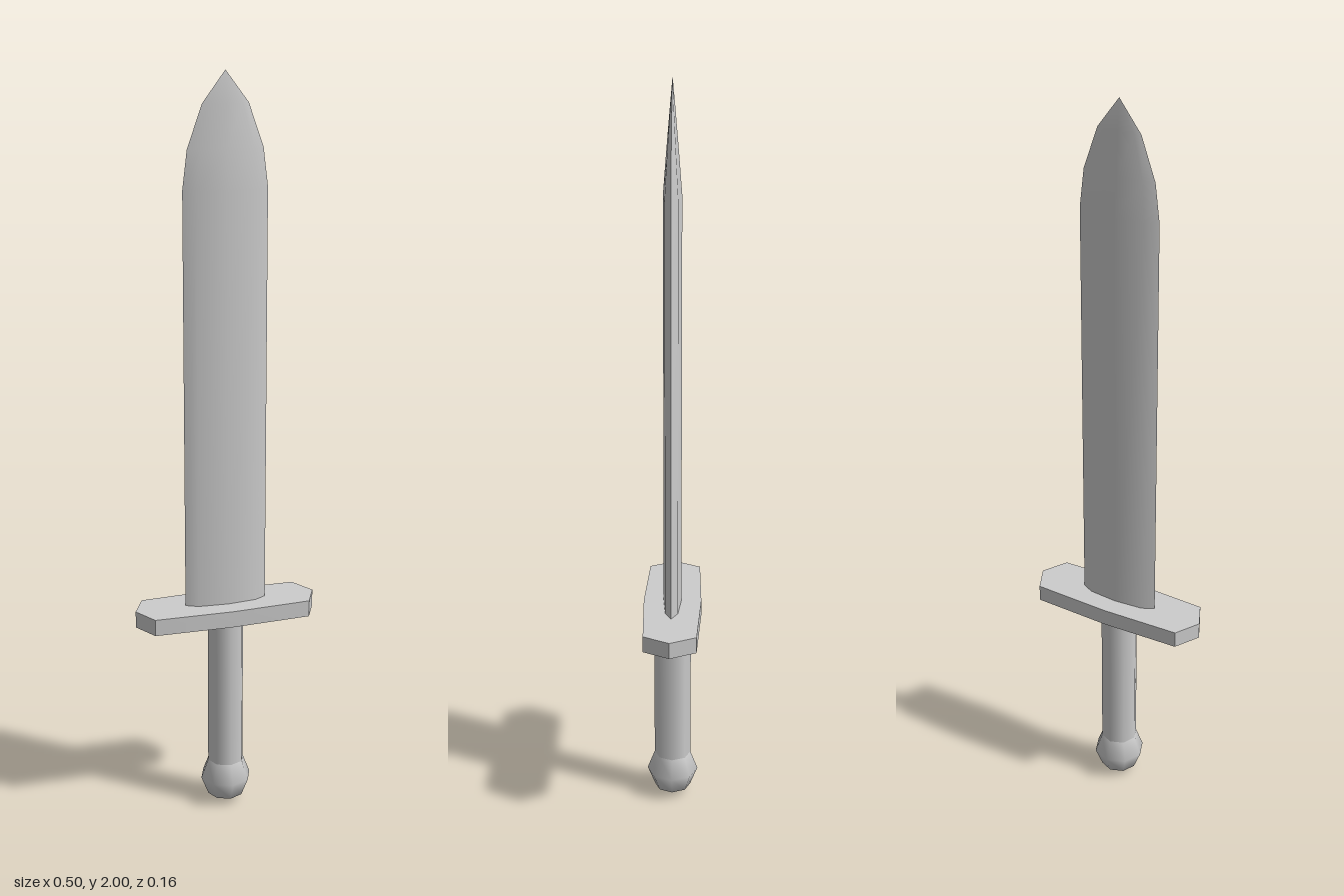
import * as THREE from 'three';
import { toCreasedNormals } from 'three/addons/utils/BufferGeometryUtils.js';

const material = new THREE.MeshStandardMaterial({ color: 0xcccccc });

function addPart(group, name, geometry) {
  const mesh = new THREE.Mesh(geometry, material);
  mesh.name = name;
  group.add(mesh);
}

// Blade: an eight-point lens section lofted upward and closed to a point
function bladeGeometry() {
  const section = [[0.112, 0], [0.08, 0.017], [0, 0.024], [-0.08, 0.017],
    [-0.112, 0], [-0.08, -0.017], [0, -0.024], [0.08, -0.017]];
  // height, width scale, thickness scale
  const rings = [[0.58, 1, 1], [1.71, 1, 1], [1.81, 0.89, 0.68], [1.92, 0.54, 0.3]];
  const n = section.length;
  const positions = [];
  const index = [];
  for (const [y, w, t] of rings) {
    for (const [x, z] of section) positions.push(x * w, y, z * t);
  }
  const tip = n * rings.length;
  positions.push(0, 2, 0, 0, 0.58, 0);
  for (let i = 0; i < n; i++) {
    const j = (i + 1) % n;
    for (let r = 0; r < rings.length - 1; r++) {
      const a = r * n + i, b = r * n + j;
      index.push(a, a + n, b, b, a + n, b + n);
    }
    const last = (rings.length - 1) * n;
    index.push(last + i, tip, last + j);
    index.push(i, j, tip + 1);
  }
  const geometry = new THREE.BufferGeometry();
  geometry.setAttribute('position', new THREE.Float32BufferAttribute(positions, 3));
  geometry.setIndex(index);
  return toCreasedNormals(geometry, 0.7);
}

// Guard: a flat plate with pointed ends
function guardGeometry() {
  const outline = [[0.25, 0], [0.215, 0.07], [0, 0.078], [-0.215, 0.07],
    [-0.25, 0], [-0.215, -0.07], [0, -0.078], [0.215, -0.07]];
  const shape = new THREE.Shape(outline.map(([x, z]) => new THREE.Vector2(x, z)));
  const geometry = new THREE.ExtrudeGeometry(shape, { depth: 0.045, bevelEnabled: false });
  geometry.rotateX(-Math.PI / 2).translate(0, 0.555, 0);
  return toCreasedNormals(geometry, 0.6);
}

export function createModel() {
  const group = new THREE.Group();
  group.name = 'sword';

  addPart(group, 'blade', bladeGeometry());
  addPart(group, 'guard', guardGeometry());

  // Grip
  const grip = new THREE.CylinderGeometry(0.05, 0.05, 0.44, 8, 1, true);
  addPart(group, 'grip', grip.translate(0, 0.345, 0));

  // Pommel: faceted ball meeting the grip
  const profile = [[0, 0.003], [0.05, 0.024], [0.07, 0.075], [0.05, 0.128]]
    .map(([r, y]) => new THREE.Vector2(r, y));
  addPart(group, 'pommel', new THREE.LatheGeometry(profile, 8));

  return group;
}
